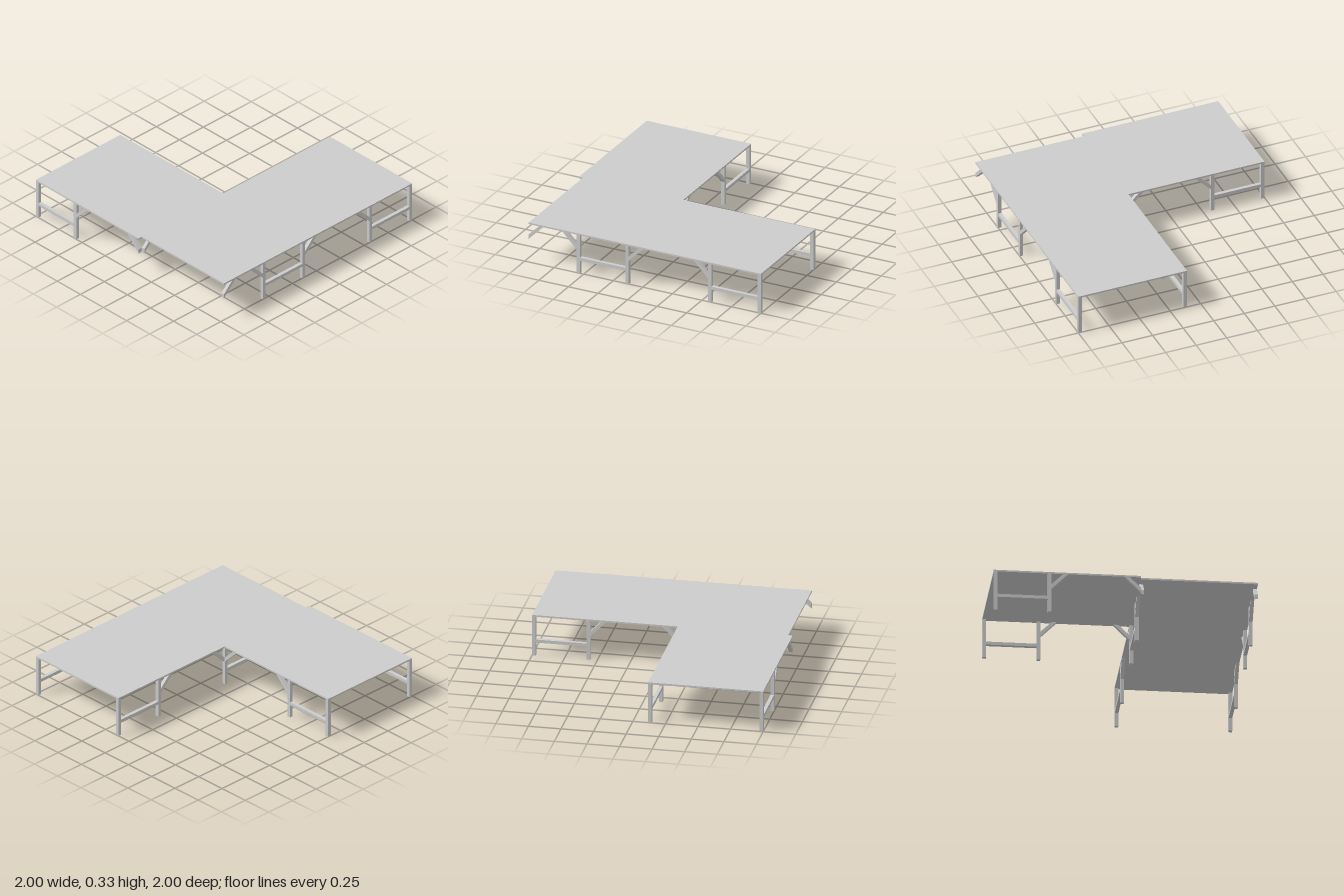
import * as THREE from 'three';

const material = new THREE.MeshStandardMaterial({ color: 0xcccccc, flatShading: true });
const TOP = 0.328, UNDER = 0.315, POST = 0.028;

// box given by its minimum and maximum corners
function box(name, [x0, y0, z0], [x1, y1, z1]) {
  const mesh = new THREE.Mesh(new THREE.BoxGeometry(x1 - x0, y1 - y0, z1 - z0), material);
  mesh.position.set((x0 + x1) / 2, (y0 + y1) / 2, (z0 + z1) / 2);
  mesh.name = name;
  return mesh;
}

// diagonal brace, cut upright at its foot and level under the top
function brace(foot, dir, z) {
  const shape = new THREE.Shape([[0, 0.193], [0.122, UNDER], [0.085, UNDER], [0, 0.23]]
    .map(([u, y]) => new THREE.Vector2(foot + dir * u, y)));
  const geometry = new THREE.ExtrudeGeometry(shape, { depth: POST, bevelEnabled: false });
  const mesh = new THREE.Mesh(geometry, material);
  mesh.position.z = z;
  mesh.name = 'brace';
  return mesh;
}

// one platform section along x: top panel, leg frames and braces on both long sides
function section(name, length, width, inner) {
  const group = new THREE.Group();
  group.name = name;
  group.add(box('topPanel', [0, UNDER, 0], [length, TOP, width]));
  for (const z of [0, width - POST]) {
    for (const x of [0, inner - POST]) {
      group.add(box('leg', [x, 0, z], [x + POST, UNDER, z + POST]));
    }
    group.add(box('crossbar', [POST, 0.105, z], [inner - POST, 0.13, z + POST]));
    group.add(brace(inner, 1, z), brace(length, -1, z));
  }
  return group;
}

export function createModel() {
  const model = new THREE.Group();
  model.name = 'stagePlatform';

  // wing running along x
  const sideWing = section('sideWing', 1.113, 0.883, 0.438);
  sideWing.position.set(-1, 0, 0.117);

  // two sections in line along z
  const backWing = section('backWing', 1.119, 0.888, 0.447);
  backWing.rotation.y = -Math.PI / 2;
  backWing.position.set(1, 0, -1);

  const cornerSection = section('cornerSection', 0.846, 0.888, 0.44);
  cornerSection.rotation.y = -Math.PI / 2;
  cornerSection.position.set(1, 0, 0.119);

  model.add(sideWing, backWing, cornerSection);
  return model;
}
